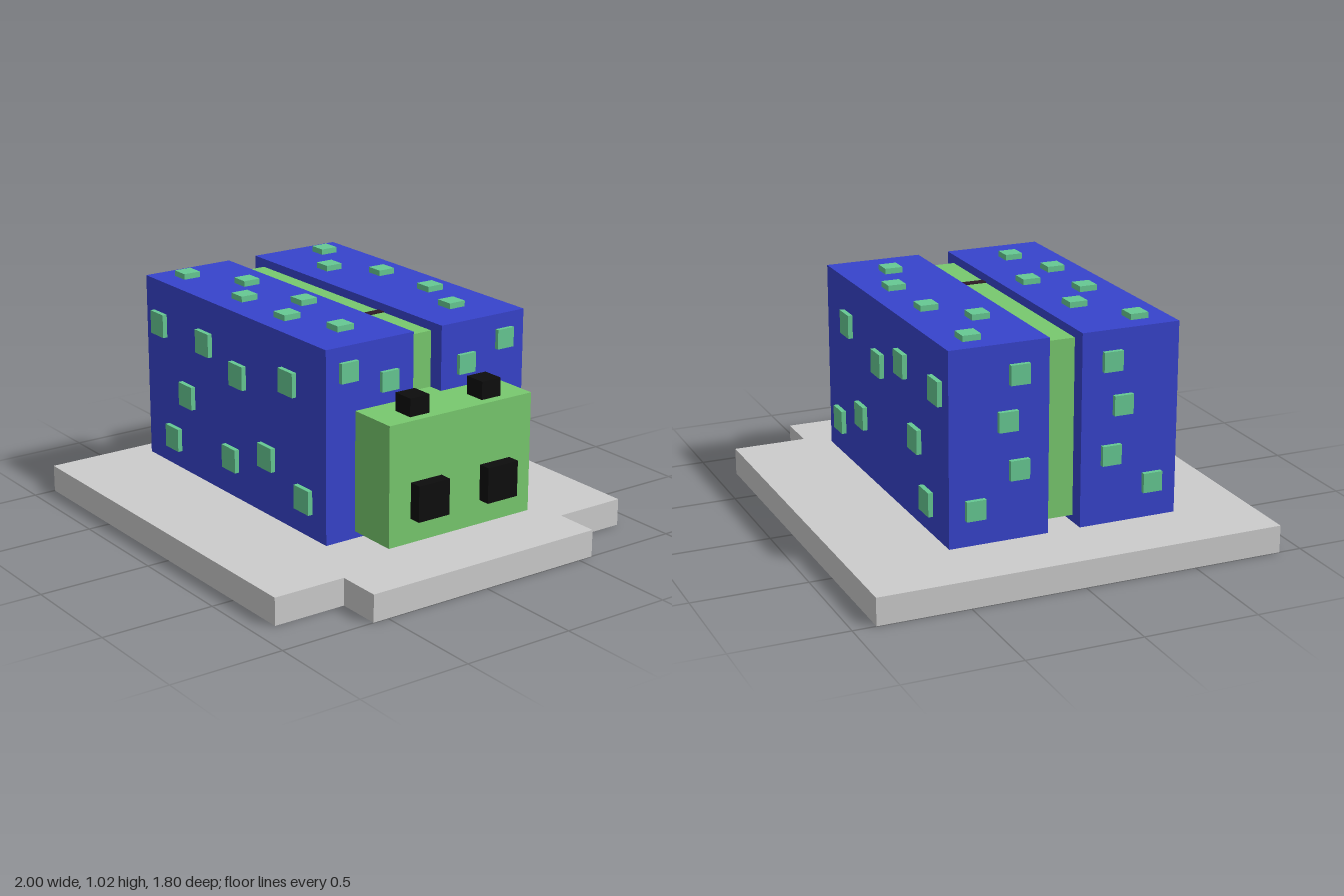
import * as THREE from 'three';

const mat = (color) => new THREE.MeshStandardMaterial({ color, flatShading: true });

export function createModel() {
  const model = new THREE.Group();
  model.name = 'blockBeetle';
  const grey = mat(0xcccccc), blue = mat(0x3743cc), green = mat(0x78c96e);
  const teal = mat(0x66c993), black = mat(0x0d0d0d), dark = mat(0x2e1a26);

  // Box given by its extents on each axis
  function box(name, material, [x0, x1], [y0, y1], [z0, z1], parent = model) {
    const m = new THREE.Mesh(new THREE.BoxGeometry(x1 - x0, y1 - y0, z1 - z0), material);
    m.position.set((x0 + x1) / 2, (y0 + y1) / 2, (z0 + z1) / 2);
    m.name = name;
    parent.add(m);
    return m;
  }
  const around = (c, size) => [c - size / 2, c + size / 2];
  const mirrored = (s, [a, b]) => (s > 0 ? [a, b] : [-b, -a]);

  // Base plate with a shallow tongue under the head
  const outline = [[-1, -0.9], [0.8, -0.9], [0.8, -0.57], [1, -0.57],
    [1, 0.57], [0.8, 0.57], [0.8, 0.9], [-1, 0.9]];
  const plate = new THREE.ExtrudeGeometry(
    new THREE.Shape(outline.map(([x, z]) => new THREE.Vector2(x, z))),
    { depth: 0.12, bevelEnabled: false });
  plate.rotateX(-Math.PI / 2);
  const base = new THREE.Mesh(plate, grey);
  base.name = 'base';
  model.add(base);

  // Body between the wing cases, dark band across it, and the head
  box('body', green, [-0.72, 0.52], [0.2, 0.963], [-0.08, 0.08]);
  box('bodyBand', dark, [0.16, 0.195], [0.25, 0.968], [-0.078, 0.078]);
  box('head', green, [0.52, 0.82], [0.2, 0.72], [-0.363, 0.363]);

  // Spot positions: side [x, y], top [x, z], rear and front [y, z]
  const sideSpots = [[-0.675, 0.805], [-0.305, 0.807], [-0.043, 0.73], [0.33, 0.8],
    [-0.452, 0.53], [0.17, 0.43], [-0.572, 0.302], [0.44, 0.326]];
  const topSpots = [[-0.665, 0.37], [-0.414, 0.22], [-0.214, 0.363], [0.123, 0.374], [0.38, 0.288]];
  const rearSpots = [[0.87, 0.205], [0.68, 0.255], [0.47, 0.205], [0.325, 0.395]];
  const frontSpots = [[0.893, 0.4], [0.82, 0.198]];

  for (const s of [1, -1]) {
    const side = new THREE.Group();
    side.name = s > 0 ? 'nearHalf' : 'farHalf';
    model.add(side);

    box('wingCase', blue, [-0.79, 0.59], [0.17, 1.0], mirrored(s, [0.072, 0.507]), side);

    // Raised spots on every outer face; one half has an extra pair
    const sides = s > 0 ? [...sideSpots, [-0.107, 0.342]] : sideSpots;
    const tops = s > 0 ? [...topSpots, [-0.02, 0.19]] : topSpots;
    for (const [x, y] of sides)
      box('sideSpot', teal, around(x, 0.104), around(y, 0.104), mirrored(s, [0.49, 0.528]), side);
    for (const [x, z] of tops)
      box('topSpot', teal, around(x, 0.08), [0.98, 1.025], mirrored(s, around(z, 0.08)), side);
    for (const [y, z] of rearSpots)
      box('rearSpot', teal, [-0.81, -0.77], around(y, 0.085), mirrored(s, around(z, 0.085)), side);
    for (const [y, z] of frontSpots)
      box('frontSpot', teal, [0.57, 0.608], around(y, 0.085), mirrored(s, around(z, 0.085)), side);

    // Three stubby legs
    for (const x of [-0.54, -0.112, 0.313])
      box('leg', black, around(x, 0.155), [0.12, 0.22], mirrored(s, [0.258, 0.412]), side);

    // Eye and feeler on the head
    box('eye', black, [0.79, 0.875], [0.305, 0.46], mirrored(s, [0.1, 0.255]), side);
    box('feeler', black, [0.682, 0.78], [0.7, 0.798], mirrored(s, [0.135, 0.232]), side);
  }
  return model;
}
